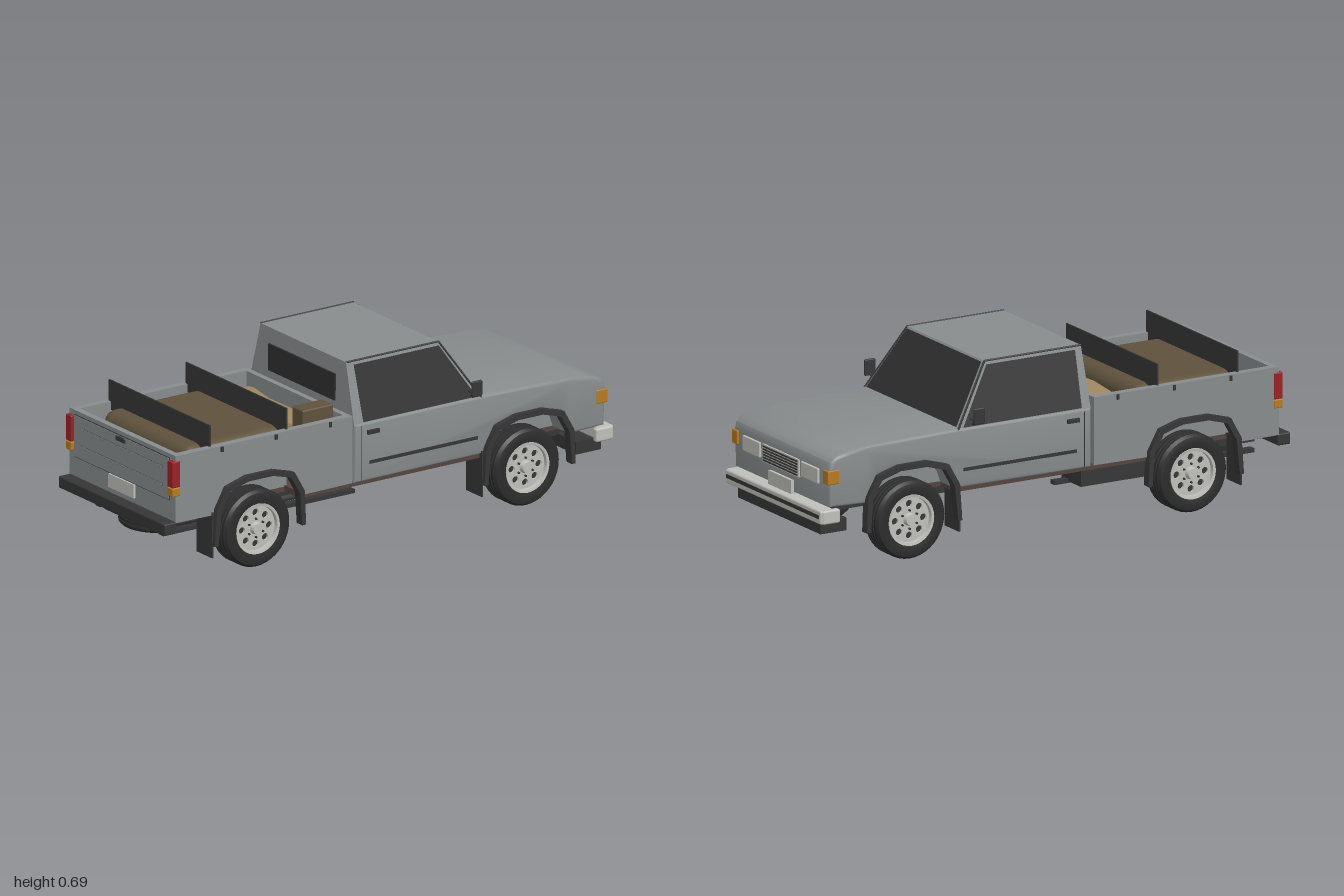
import * as THREE from 'three';
import { toCreasedNormals } from 'three/addons/utils/BufferGeometryUtils.js';
import { RoundedBoxGeometry } from 'three/addons/geometries/RoundedBoxGeometry.js';

const V = (x, y, z) => new THREE.Vector3(x, y, z);

export function createModel() {
  const truck = new THREE.Group();
  truck.name = 'pickupTruck';
  const mat = (name, color, side = THREE.FrontSide) => {
    const m = new THREE.MeshStandardMaterial({ color, side });
    m.name = name;
    return m;
  };
  const paint = mat('greyPaint', 0x888c8d);
  const trim = mat('darkTrim', 0x363636, THREE.DoubleSide);
  const rubber = mat('rubber', 0x2c2c2c);
  const glass = mat('darkGlass', 0x303030, THREE.DoubleSide);
  const chrome = mat('brightMetal', 0xbfbfba);
  const red = mat('redLens', 0x9c2024);
  const amber = mat('amberLens', 0xb87a1e);
  const canvas = mat('brownCanvas', 0x5f523c);
  const tan = mat('tanCloth', 0xa08861);
  const under = mat('underbody', 0x54443f);

  const add = (name, geo, m, parent = truck) => {
    const mesh = new THREE.Mesh(geo, m);
    mesh.name = name;
    parent.add(mesh);
    return mesh;
  };
  // box from its limits, with optional rounded edges
  const box = (name, m, x0, x1, y0, y1, z0, z1, r = 0) => {
    const s = [Math.abs(x1 - x0), y1 - y0, z1 - z0];
    const g = r ? new RoundedBoxGeometry(...s, 2, r) : new THREE.BoxGeometry(...s);
    return add(name, g.translate((x0 + x1) / 2, (y0 + y1) / 2, (z0 + z1) / 2), m);
  };
  const pair = (name, m, x0, x1, ...rest) => {
    for (const s of [1, -1]) box(name, m, s * x0, s * x1, ...rest);
  };
  const rod = (name, m, a, b, r, sides = 10) =>
    add(name, new THREE.TubeGeometry(new THREE.LineCurve3(a, b), 1, r, sides), m);
  // side outline in (z, y), extruded across x around the given centre
  const sideProfile = (name, m, pts, width, x = 0, bevel = 0) => {
    const shape = new THREE.Shape(pts.map(p => new THREE.Vector2(...p)));
    const g = new THREE.ExtrudeGeometry(shape, {
      depth: width - 2 * bevel, bevelEnabled: bevel > 0, bevelSize: bevel,
      bevelThickness: bevel, bevelOffset: -bevel, bevelSegments: 3
    });
    g.translate(0, 0, -(width - 2 * bevel) / 2).rotateY(-Math.PI / 2).translate(x, 0, 0);
    return add(name, toCreasedNormals(g, 0.6), m);
  };
  const REAR = 0.585, FRONT = -0.612;
  // wheel opening from the -z foot to the +z foot
  const arch = c => [[-0.19, 0.238], [-0.175, 0.28], [-0.135, 0.337], [-0.06, 0.358],
    [0.06, 0.358], [0.135, 0.337], [0.175, 0.28], [0.19, 0.238]].map(([z, y]) => [c + z, y]);

  // front body: doors, fenders, hood and nose
  sideProfile('frontBody', paint, [[0.155, 0.235], [0.155, 0.46], [-0.41, 0.462], [-0.6, 0.459],
    [-0.8, 0.452], [-0.88, 0.444], [-0.93, 0.43], [-0.952, 0.412], [-0.96, 0.385],
    [-0.955, 0.243], ...arch(FRONT)], 0.67, 0, 0.012);

  // greenhouse: tapered block with glass laid on its faces
  const low = [V(0.33, 0.455, 0.154), V(0.33, 0.455, -0.41), V(-0.33, 0.455, -0.41), V(-0.33, 0.455, 0.154)];
  const top = [V(0.27, 0.682, 0.148), V(0.27, 0.682, -0.262), V(-0.27, 0.682, -0.262), V(-0.27, 0.682, 0.148)];
  const quad = (a, b, c, d, u0 = 0, u1 = 1, v0 = 0, v1 = 1, off = 0) => {
    const n = b.clone().sub(a).cross(d.clone().sub(a)).normalize();
    const at = (u, v) => a.clone().lerp(b, u).lerp(d.clone().lerp(c, u), v).addScaledVector(n, off);
    const g = new THREE.BufferGeometry().setFromPoints([at(u0, v0), at(u1, v0), at(u1, v1), at(u0, v1)]);
    g.setIndex([0, 1, 2, 0, 2, 3]);
    g.computeVertexNormals();
    return g;
  };
  const panes = [['sideWindow', 0.07, 0.97, 0.03, 0.94], ['windshield', 0.02, 0.98, 0.03, 0.97],
    ['sideWindow', 0.03, 0.93, 0.03, 0.94]];
  for (let i = 0; i < 4; i++) {
    const face = [low[i], low[(i + 1) % 4], top[(i + 1) % 4], top[i]];
    add('cabWall', quad(...face), paint);
    if (panes[i]) add(panes[i][0], quad(...face, ...panes[i].slice(1), 0.004), glass);
  }
  box('rearWindow', glass, -0.21, 0.21, 0.52, 0.622, 0.149, 0.157);
  add('roof', quad(...top), paint);
  for (const s of [1, -1]) {
    const k = s > 0 ? [0, 1] : [3, 2];
    rod('roofGutter', trim, top[k[0]], top[k[1]], 0.004, 6);
    rod('windshieldPillar', trim, low[k[1]], top[k[1]], 0.004, 6);
    rod('mirrorArm', trim, V(s * 0.33, 0.492, -0.355), V(s * 0.36, 0.485, -0.355), 0.004, 6);
    rod('mirrorArm', trim, V(s * 0.345, 0.476, -0.355), V(s * 0.38, 0.492, -0.355), 0.005, 6);
  }
  pair('mirror', trim, 0.378, 0.389, 0.483, 0.545, -0.376, -0.33, 0.005);
  pair('doorHandle', trim, 0.334, 0.345, 0.415, 0.43, 0.05, 0.1);
  pair('doorStrip', trim, 0.334, 0.339, 0.3, 0.312, -0.39, 0.09);
  pair('doorSeam', trim, 0.334, 0.336, 0.24, 0.45, 0.123, 0.125);

  // nose: grille, lamps and bumper
  box('grilleFrame', chrome, -0.127, 0.127, 0.31, 0.377, -0.966, -0.95);
  for (let i = 0; i < 6; i++) {
    const y = 0.3145 + i * 0.0103;
    box('grilleSlot', trim, -0.121, 0.121, y, y + 0.0058, -0.968, -0.955);
  }
  pair('headlight', chrome, 0.144, 0.264, 0.318, 0.376, -0.967, -0.95, 0.004);
  pair('cornerLight', amber, 0.3, 0.338, 0.33, 0.383, -0.967, -0.918, 0.004);
  box('frontBumper', chrome, -0.335, 0.335, 0.183, 0.236, -0.997, -0.935, 0.008);
  pair('bumperEnd', chrome, 0.315, 0.341, 0.183, 0.236, -0.99, -0.915, 0.008);
  box('bumperStrip', trim, -0.325, 0.325, 0.205, 0.219, -1, -0.985);
  box('frontPlate', chrome, -0.08, 0.08, 0.236, 0.288, -0.968, -0.95);
  box('frontValance', trim, -0.29, 0.29, 0.135, 0.183, -0.97, -0.86);

  // cargo bed
  for (const s of [1, -1])
    sideProfile('bedSide', paint, [[0.95, 0.24], [0.95, 0.497], [0.165, 0.497], [0.165, 0.24],
      ...arch(REAR)], 0.03, s * 0.32);
  box('bedFloor', paint, -0.306, 0.306, 0.318, 0.332, 0.17, 0.945);
  box('bedFrontWall', paint, -0.306, 0.306, 0.24, 0.497, 0.165, 0.187);
  box('bedRear', paint, -0.306, 0.306, 0.24, 0.497, 0.925, 0.95);
  pair('wheelHousing', paint, 0.235, 0.306, 0.33, 0.37, 0.42, 0.75);
  for (const z of [0.74, 0.5, 0.26]) pair('tieHook', trim, 0.333, 0.341, 0.475, 0.494, z, z + 0.01);
  pair('cabBedSpacer', trim, 0.12, 0.2, 0.24, 0.4, 0.15, 0.17);

  // tailgate details, tail lamps and rear bumper
  box('tailgate', paint, -0.298, 0.298, 0.322, 0.48, 0.948, 0.956);
  for (const y of [0.3205, 0.4815]) box('tailgateSeam', trim, -0.3, 0.3, y - 0.0015, y + 0.0005, 0.948, 0.954);
  pair('tailgateSeam', trim, 0.298, 0.3, 0.32, 0.482, 0.948, 0.954);
  for (const y of [0.37, 0.4375]) {
    box('tailgateRibShadow', trim, -0.26, 0.26, y - 0.0045, y + 0.0045, 0.954, 0.957);
    box('tailgateRib', paint, -0.259, 0.259, y - 0.0035, y + 0.0035, 0.954, 0.9585);
  }
  box('tailgateHandle', trim, -0.028, 0.028, 0.461, 0.479, 0.95, 0.964, 0.004);
  box('rearPlate', chrome, -0.08, 0.08, 0.265, 0.317, 0.948, 0.958);
  pair('tailLight', red, 0.304, 0.338, 0.376, 0.476, 0.93, 0.966, 0.004);
  pair('rearIndicator', amber, 0.304, 0.338, 0.342, 0.375, 0.93, 0.966, 0.004);
  box('rearBumper', trim, -0.337, 0.337, 0.199, 0.244, 0.945, 1, 0.006);

  // load: covered bundle, bag, crate and two cross boards
  box('coveredLoad', canvas, -0.28, 0.28, 0.325, 0.49, 0.38, 0.857, 0.05);
  box('crate', canvas, 0.208, 0.28, 0.33, 0.537, 0.21, 0.346, 0.006);
  const bag = new THREE.Shape([[-0.24, 0.225], [-0.21, 0.21], [-0.07, 0.235], [0.07, 0.232], [0.16, 0.215],
    [0.205, 0.225], [0.205, 0.325], [0.17, 0.345], [0.08, 0.335], [-0.06, 0.345], [-0.21, 0.325],
    [-0.24, 0.3]].map(([x, z]) => new THREE.Vector2(x, -z)));
  const bagGeo = new THREE.ExtrudeGeometry(bag, {
    depth: 0.09, bevelSize: 0.02, bevelThickness: 0.025, bevelOffset: -0.02, bevelSegments: 4
  }).rotateX(-Math.PI / 2).translate(0, 0.355, 0);
  add('softBag', toCreasedNormals(bagGeo, 0.7), tan);
  for (const z of [0.785, 0.445]) box('crossBoard', trim, -0.319, 0.319, 0.465, 0.578, z - 0.003, z + 0.003);

  // fender flares and mud flaps
  const outer = [[-0.2, 0.13], [-0.195, 0.26], [-0.15, 0.34], [-0.06, 0.366],
    [0.06, 0.366], [0.15, 0.34], [0.195, 0.26], [0.205, 0.122]];
  const inner = [[0.188, 0.122], [0.174, 0.253], [0.135, 0.322], [0.055, 0.345],
    [-0.055, 0.345], [-0.135, 0.322], [-0.174, 0.253], [-0.183, 0.13]];
  for (const c of [REAR, FRONT])
    for (const s of [1, -1]) {
      sideProfile('fenderFlare', trim, [...outer, ...inner].map(([z, y]) => [c + z, y]), 0.035, s * 0.338);
      box('mudFlap', trim, s * 0.24, s * 0.34, 0.075, 0.25, c + 0.2, c + 0.206);
    }

  // chassis and underbody, with painted inner walls beside the wheels
  box('cabFloor', under, -0.325, 0.325, 0.222, 0.245, -0.42, 0.39);
  box('engineBayFloor', under, -0.225, 0.225, 0.222, 0.24, -0.93, -0.4);
  box('engineBayWalls', paint, -0.225, 0.225, 0.24, 0.4, -0.93, -0.4);
  box('bedUnderside', under, -0.225, 0.225, 0.222, 0.24, 0.38, 0.94);
  box('bedInnerWalls', paint, -0.225, 0.225, 0.24, 0.32, 0.38, 0.94);
  box('rearPan', under, -0.325, 0.325, 0.235, 0.245, 0.79, 0.945);
  pair('frameRail', trim, 0.135, 0.165, 0.175, 0.232, -0.93, 0.95);
  for (const z of [-0.85, 0.42, 0.9]) box('crossMember', trim, -0.135, 0.135, 0.185, 0.225, z - 0.018, z + 0.018);
  box('fuelTank', trim, -0.3, -0.165, 0.155, 0.23, 0.13, 0.4);
  box('engineSump', trim, -0.08, 0.08, 0.15, 0.24, -0.7, -0.56);
  box('gearbox', trim, -0.05, 0.05, 0.175, 0.235, -0.35, -0.18);
  rod('driveShaft', trim, V(0, 0.19, -0.2), V(0, 0.155, REAR), 0.014);
  rod('exhaustPipe', trim, V(0.2, 0.185, -0.5), V(0.2, 0.185, 0.92), 0.012);
  pair('leafSpring', trim, 0.185, 0.215, 0.15, 0.165, 0.07, 0.92);
  for (const z of [REAR, FRONT]) rod('axle', trim, V(-0.25, 0.155, z), V(0.25, 0.155, z), 0.025, 14);
  add('differential', new THREE.SphereGeometry(0.055, 18, 12), trim).position.set(0, 0.153, REAR);

  // wheels, built with their outer side along +y
  const tyreOutline = [[0.09, -0.02], [0.096, -0.045], [0.12, -0.05], [0.138, -0.046], [0.147, -0.034]];
  for (const y of [-0.02, 0, 0.02])
    tyreOutline.push([0.147, y - 0.003], [0.142, y - 0.002], [0.142, y + 0.002], [0.147, y + 0.003]);
  tyreOutline.push([0.147, 0.034], [0.138, 0.046], [0.12, 0.05], [0.096, 0.045], [0.09, 0.02]);
  const tyreGeo = toCreasedNormals(new THREE.LatheGeometry(tyreOutline.map(p => new THREE.Vector2(...p)), 40), 0.6);
  const disc = new THREE.Shape().absarc(0, 0, 0.091, 0, Math.PI * 2);
  for (let i = 0; i < 8; i++) {
    const a = i * Math.PI / 4;
    disc.holes.push(new THREE.Path().absarc(0.06 * Math.cos(a), 0.06 * Math.sin(a), 0.013, 0, Math.PI * 2, true));
  }
  // pierced plates: one on the outside, one on the inside
  const discGeo = y => new THREE.ExtrudeGeometry(disc, { depth: 0.008, bevelEnabled: false, curveSegments: 20 })
    .rotateX(-Math.PI / 2).translate(0, y, 0);
  const outerDisc = discGeo(0.022), innerDisc = discGeo(-0.034);
  const rimGeo = toCreasedNormals(new THREE.LatheGeometry([[0.097, 0.04], [0.096, 0.048], [0.086, 0.046], [0.084, 0.02]]
    .map(p => new THREE.Vector2(...p)), 32), 0.5);
  for (const z of [REAR, FRONT])
    for (const s of [1, -1]) {
      const w = new THREE.Group();
      w.name = z > 0 ? 'rearWheel' : 'frontWheel';
      add('tyre', tyreGeo, rubber, w);
      add('rimCore', new THREE.CylinderGeometry(0.09, 0.09, 0.04, 32).translate(0, -0.005, 0), trim, w);
      add('outerDisc', outerDisc, chrome, w);
      add('innerDisc', innerDisc, chrome, w);
      add('rimLip', rimGeo, chrome, w);
      add('hub', new THREE.CylinderGeometry(0.02, 0.026, 0.022, 16).translate(0, 0.036, 0), chrome, w);
      for (let i = 0; i < 6; i++) {
        const a = i * Math.PI / 3;
        add('wheelNut', new THREE.CylinderGeometry(0.004, 0.004, 0.01, 6)
          .translate(0.035 * Math.cos(a), 0.033, 0.035 * Math.sin(a)), trim, w);
      }
      w.rotation.z = -s * Math.PI / 2;
      w.position.set(s * 0.29, 0.147, z);
      truck.add(w);
    }
  // spare slung under the bed
  const spare = new THREE.Group();
  spare.name = 'spareWheel';
  add('spareTyre', tyreGeo, rubber, spare);
  add('spareRim', new THREE.CylinderGeometry(0.092, 0.092, 0.05, 32), trim, spare);
  spare.scale.set(1, 0.8, 1);
  spare.position.set(0, 0.161, 0.79);
  truck.add(spare);
  return truck;
}
